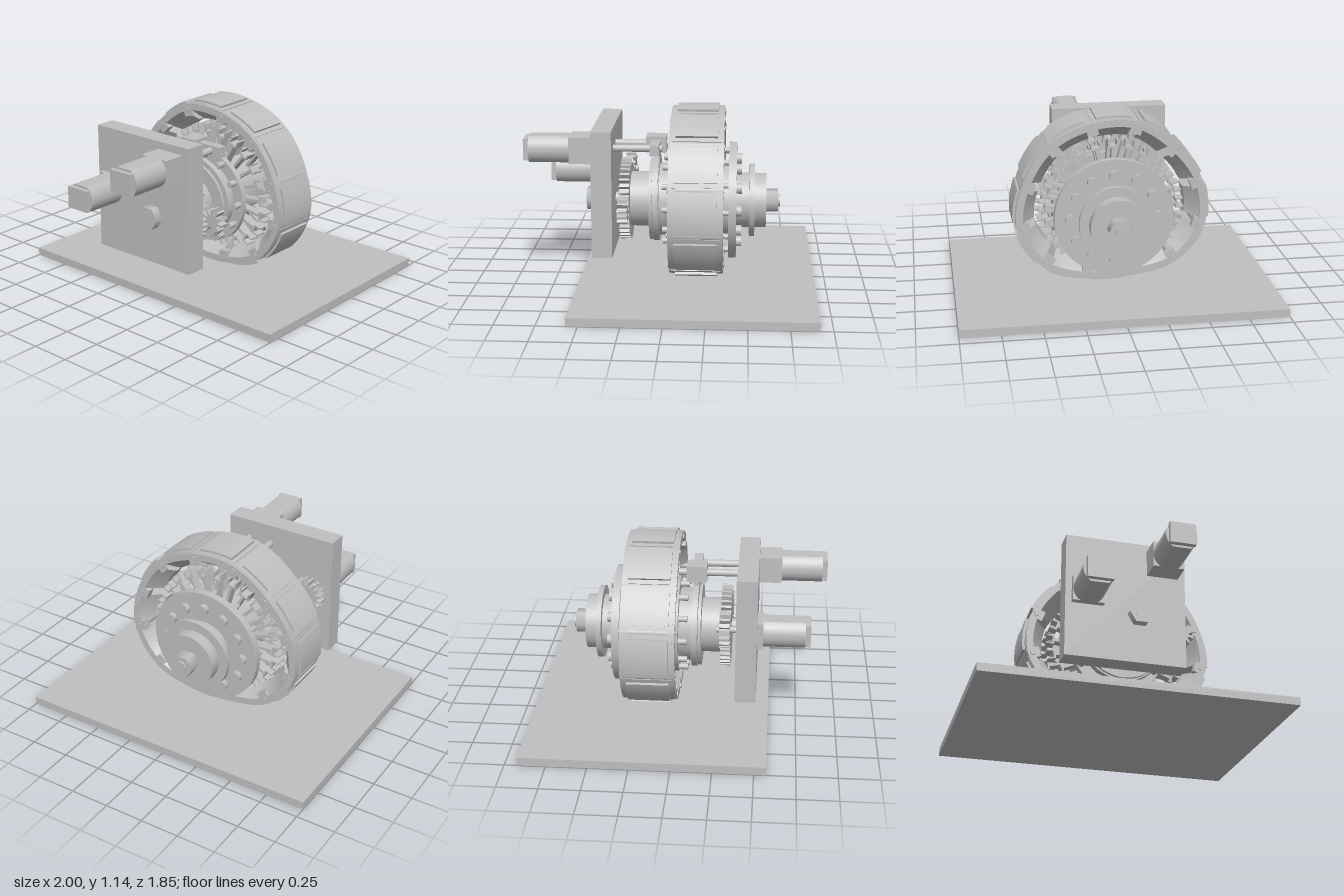
import * as THREE from 'three';
import { toCreasedNormals } from 'three/addons/utils/BufferGeometryUtils.js';

const steel = new THREE.MeshStandardMaterial({ color: 0xbfbfbf });
steel.name = 'steelGrey';
const AXIS = 0.517;          // height of the main axle
const FRONT = -0.005, BACK = -0.343; // faces of the track

// Hinge positions of the slightly squashed track, clockwise from the top
const JOINTS = [
  [-0.155, 1.07], [0.128, 1.07], [0.374, 0.95], [0.53, 0.71], [0.567, 0.44], [0.417, 0.203],
  [0.16, 0.118], [-0.123, 0.125], [-0.39, 0.2], [-0.56, 0.42], [-0.54, 0.695], [-0.38, 0.92],
];
const path = new THREE.CatmullRomCurve3(
  JOINTS.map(([x, y]) => new THREE.Vector3(x, y, 0)), true, 'centripetal');

function add(parent, name, geometry, x = 0, y = 0, z = 0) {
  const mesh = new THREE.Mesh(geometry, steel);
  mesh.name = name;
  mesh.position.set(x, y, z);
  parent.add(mesh);
  return mesh;
}

// Box given by its limits on each axis
function box(parent, name, x0, x1, y0, y1, z0, z1) {
  return add(parent, name, new THREE.BoxGeometry(x1 - x0, y1 - y0, z1 - z0),
    (x0 + x1) / 2, (y0 + y1) / 2, (z0 + z1) / 2);
}

// Cylinder along z
function rod(parent, name, r, z0, z1, x = 0, y = AXIS, sides = 40) {
  const geo = new THREE.CylinderGeometry(r, r, Math.abs(z1 - z0), sides);
  geo.rotateX(Math.PI / 2);
  return add(parent, name, geo, x, y, (z0 + z1) / 2);
}

// Hexagon nut with points to the sides
function nut(parent, name, r, z0, z1) {
  rod(parent, name, r, z0, z1, 0, AXIS, 6).rotation.z = Math.PI / 2;
}

function extrude(parent, name, shape, x, y, z0, z1) {
  const geo = new THREE.ExtrudeGeometry(shape, { depth: z1 - z0, bevelEnabled: false, curveSegments: 16 });
  return add(parent, name, toCreasedNormals(geo, 0.5), x, y, z0);
}

// Toothed wheel
function gear(parent, name, r, teeth, x, y, z0, z1) {
  const shape = new THREE.Shape();
  for (let i = 0; i < teeth; i++) {
    [[0, -0.032], [0.22, -0.032], [0.36, 0], [0.68, 0], [0.82, -0.032]].forEach(([f, d], k) => {
      const a = (i + f) / teeth * Math.PI * 2;
      shape[i + k ? 'lineTo' : 'moveTo']((r + d) * Math.cos(a), (r + d) * Math.sin(a));
    });
  }
  shape.closePath();
  return extrude(parent, name, shape, x, y, z0, z1);
}

// Sweeps a convex [offset, z] section along part of the track path
function sweep(parent, name, t0, t1, section, steps = 8) {
  const pos = [], rows = [];
  for (let i = 0; i <= steps; i++) {
    const t = (t0 + (t1 - t0) * i / steps + 1) % 1;
    const p = path.getPoint(t), d = path.getTangent(t);
    rows.push(section.map(([r, z]) => [p.x - d.y * r, p.y + d.x * r, z]));
  }
  const n = section.length;
  const tri = (a, b, c) => pos.push(...a, ...b, ...c);
  for (let i = 0; i < steps; i++) for (let j = 0; j < n; j++) {
    const k = (j + 1) % n;
    tri(rows[i][j], rows[i][k], rows[i + 1][j]);
    tri(rows[i][k], rows[i + 1][k], rows[i + 1][j]);
  }
  for (let j = 1; j < n - 1; j++) {
    tri(rows[steps][0], rows[steps][j], rows[steps][j + 1]);
    tri(rows[0][0], rows[0][j + 1], rows[0][j]);
  }
  const geo = new THREE.BufferGeometry();
  geo.setAttribute('position', new THREE.Float32BufferAttribute(pos, 3));
  return add(parent, name, toCreasedNormals(geo, 0.4));
}
const slab = (r0, r1, z0, z1) => [[r1, z0], [r1, z1], [r0, z1], [r0, z0]];

// One hinged shoe of the track with its pad and hinge
function trackLink(parent, i) {
  const link = new THREE.Group();
  link.name = 'trackLink' + i;
  parent.add(link);
  const t = f => (i + f) / 12;
  sweep(link, 'shoe', t(0.12), t(0.88), [
    [0.03, BACK], [0.03, FRONT], [-0.01, FRONT], [-0.09, -0.12], [-0.09, -0.228], [-0.01, BACK]]);
  for (const [z0, z1] of [[BACK, BACK + 0.05], [FRONT - 0.05, FRONT]])
    sweep(link, 'rim', t(0.02), t(0.98), slab(-0.012, 0.033, z0, z1));
  sweep(link, 'skin', t(0.04), t(0.96), slab(0.015, 0.036, BACK + 0.015, FRONT - 0.015));
  sweep(link, 'treadPad', t(0.14), t(0.86), slab(0.03, 0.052, -0.305, -0.043));

  const [x, y] = JOINTS[i], d = path.getTangent(i / 12);
  rod(link, 'hingeBarrel', 0.033, BACK + 0.002, FRONT - 0.002, x, y, 20);
  rod(link, 'hingePin', 0.017, BACK - 0.006, FRONT + 0.006, x, y, 16);
  for (const z of [FRONT - 0.026, BACK + 0.026]) {
    const lug = add(link, 'hingeLug', new THREE.BoxGeometry(0.07, 0.055, 0.05), x + d.y * 0.02, y - d.x * 0.02, z);
    lug.rotation.z = Math.atan2(d.y, d.x);
  }
}

// Radial strut with a forked clip, reaching from the drum to the track
function claw(parent, k) {
  const p = path.getPoint(k / 24);
  const arm = new THREE.Group();
  arm.name = 'claw' + k;
  arm.position.set(0, AXIS, 0);
  arm.rotation.z = Math.atan2(p.y - AXIS, p.x);
  parent.add(arm);
  const end = Math.hypot(p.x, p.y - AXIS) * 0.81;
  for (const z of [-0.08, -0.26]) {
    box(arm, 'strut', 0.2, end - 0.04, -0.009, 0.009, z - 0.03, z + 0.03);
    box(arm, 'clipBase', end - 0.05, end - 0.038, -0.03, 0.03, z - 0.035, z + 0.035);
    for (const s of [-1, 1])
      box(arm, 'clipJaw', end - 0.05, end, s * 0.027 - 0.005, s * 0.027 + 0.005, z - 0.035, z + 0.035);
  }
}

// Motor: square gearbox, flat-sided barrel and end cap
function motor(parent, name, x, y, zBox, zBarrel, zCap) {
  const g = new THREE.Group();
  g.name = name;
  parent.add(g);
  box(g, 'gearbox', x - 0.1, x + 0.1, y - 0.084, y + 0.084, 0.49, zBox);
  const a = Math.asin(0.84), barrel = new THREE.Shape();
  barrel.absarc(0, 0, 0.1, -a, a);
  barrel.absarc(0, 0, 0.1, Math.PI - a, Math.PI + a);
  barrel.closePath();
  extrude(g, 'barrel', barrel, x, y, zBox, zBarrel);
  box(g, 'endCap', x - 0.082, x + 0.082, y - 0.07, y + 0.07, zBarrel, zCap);
}

export function createModel() {
  const model = new THREE.Group();
  model.name = 'wheelTestRig';

  box(model, 'basePlate', -1, 1, 0, 0.052, -0.925, 0.572);
  box(model, 'motorPlate', -0.47, 0.297, 0.2, 1.016, 0.362, 0.492);

  // Track and claws
  const track = new THREE.Group();
  track.name = 'track';
  model.add(track);
  for (let i = 0; i < 12; i++) trackLink(track, i);
  const claws = new THREE.Group();
  claws.name = 'claws';
  model.add(claws);
  for (let k = 0; k < 24; k++) claw(claws, k);

  // Hub and axle
  const hub = new THREE.Group();
  hub.name = 'hub';
  model.add(hub);
  rod(hub, 'drum', 0.235, -0.375, 0.13);
  rod(hub, 'frontDisc', 0.31, -0.045, -0.01);
  rod(hub, 'shiftCollar', 0.272, 0.072, 0.108);
  rod(hub, 'shiftLip', 0.265, 0.115, 0.133);
  rod(hub, 'frontSleeve', 0.177, 0.13, 0.26);
  rod(hub, 'rearDisc', 0.375, -0.422, -0.373, 0, AXIS, 64);
  rod(hub, 'rearSleeve', 0.177, -0.505, -0.42);
  rod(hub, 'rearFlange', 0.235, -0.538, -0.505);
  rod(hub, 'rearBoss', 0.175, -0.612, -0.535);
  rod(hub, 'axle', 0.04, -0.703, 0.55, 0, AXIS, 24);
  nut(hub, 'rearNut', 0.077, -0.69, -0.61);
  nut(hub, 'frontNut', 0.077, 0.49, 0.548);
  for (let i = 0; i < 12; i++) {
    const a = i / 12 * Math.PI * 2, c = Math.cos(a), s = Math.sin(a);
    rod(hub, 'rearBolt', 0.034, -0.455, -0.42, 0.275 * c, AXIS + 0.275 * s, 18);
    rod(hub, 'frontBolt', 0.02, -0.02, 0.048, 0.28 * c, AXIS + 0.28 * s, 14);
    rod(hub, 'spacerPin', 0.018, -0.375, -0.3, 0.33 * c, AXIS + 0.33 * s, 12);
  }

  // Gear train behind the motor plate
  gear(model, 'mainGear', 0.268, 40, 0, AXIS, 0.258, 0.322);
  gear(model, 'drivePinion', 0.115, 16, -0.335, 0.637, 0.258, 0.322);
  gear(model, 'idlerPinion', 0.075, 10, 0.335, AXIS, 0.258, 0.322);
  rod(model, 'pinionShaft', 0.02, 0.24, 0.37, -0.335, 0.637, 16);

  // Shift fork sliding on its guide rod
  const fork = new THREE.Group();
  fork.name = 'shiftFork';
  model.add(fork);
  rod(fork, 'guideRod', 0.023, -0.02, 0.37, -0.01, 0.885, 20);
  rod(fork, 'screw', 0.023, 0.05, 0.37, 0.15, 0.885, 20);
  box(fork, 'slider', -0.065, 0.055, 0.835, 0.94, 0.03, 0.16);
  box(fork, 'crossArm', 0.055, 0.23, 0.85, 0.92, 0.068, 0.125);
  const yoke = new THREE.Shape();
  yoke.absarc(0, 0, 0.295, 0, Math.PI, false);
  yoke.absarc(0, 0, 0.225, Math.PI, 0, true);
  extrude(fork, 'yoke', yoke, 0, AXIS, 0.075, 0.112);
  box(fork, 'stem', -0.05, 0.04, 0.78, 0.85, 0.075, 0.112);

  motor(model, 'driveMotor', -0.33, 0.637, 0.53, 0.79, 0.822);
  motor(model, 'shiftMotor', 0.15, 0.884, 0.635, 0.893, 0.925);
  return model;
}
